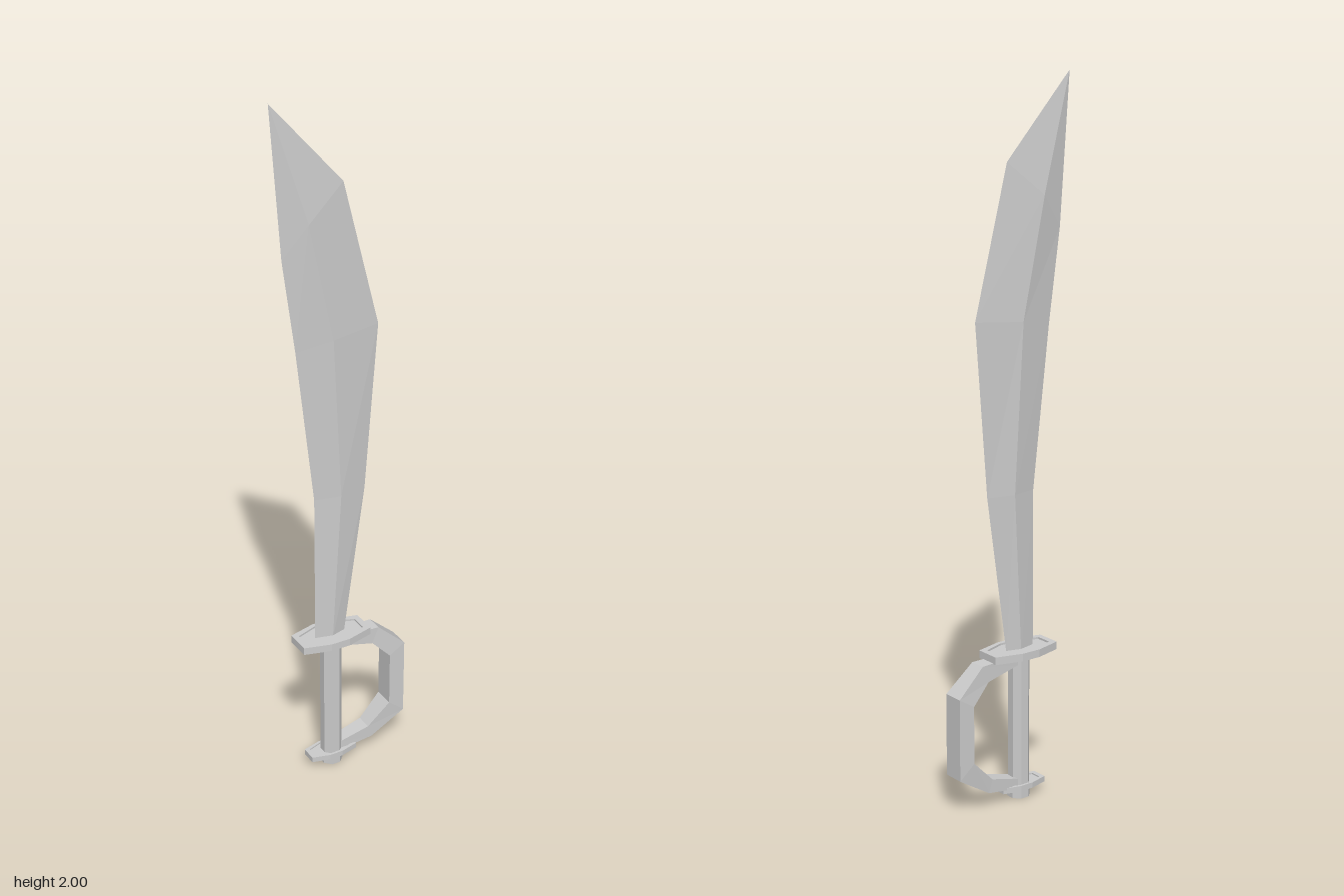
import * as THREE from 'three';

const material = new THREE.MeshStandardMaterial({ color: 0xcccccc, flatShading: true });

function part(name, geometry, x = 0, y = 0, z = 0) {
  const mesh = new THREE.Mesh(geometry, material);
  mesh.name = name;
  mesh.position.set(x, y, z);
  return mesh;
}

// Faceted skin over rings of four corners, capped at both ends
function loft(rings) {
  const pos = [];
  const quad = (a, b, c, d) => pos.push(...a, ...b, ...c, ...a, ...c, ...d);
  for (let i = 0; i < rings.length - 1; i++) {
    for (let j = 0; j < 4; j++) {
      const k = (j + 1) % 4;
      quad(rings[i][j], rings[i][k], rings[i + 1][k], rings[i + 1][j]);
    }
  }
  const [first, last] = [rings[0], rings[rings.length - 1]];
  quad(first[3], first[2], first[1], first[0]);
  quad(...last);
  const geometry = new THREE.BufferGeometry();
  geometry.setAttribute('position', new THREE.Float32BufferAttribute(pos, 3));
  geometry.computeVertexNormals();
  return geometry;
}

// Eight-cornered outline, stretched along x
function outline(endX, endZ, sideX, sideZ) {
  return [
    [endX, endZ], [sideX, sideZ], [-sideX, sideZ], [-endX, endZ],
    [-endX, -endZ], [-sideX, -sideZ], [sideX, -sideZ], [endX, -endZ],
  ].map(([x, z]) => new THREE.Vector2(x, z));
}

function slab(shape, depth) {
  return new THREE.ExtrudeGeometry(shape, { depth, bevelEnabled: false })
    .translate(0, 0, -depth / 2)
    .rotateX(-Math.PI / 2);
}

// Plate with a raised rim on both faces
function rimmedPlate(name, outer, inner, thickness, x, y) {
  const group = new THREE.Group();
  group.name = name;
  const rim = new THREE.Shape(outer);
  rim.holes.push(new THREE.Path(inner));
  group.add(part(name + 'Rim', slab(rim, thickness)));
  group.add(part(name + 'Web', slab(new THREE.Shape(inner), thickness * 0.5)));
  group.position.set(x, y, 0);
  return group;
}

export function createModel() {
  const model = new THREE.Group();
  model.name = 'cutlass';

  // Blade: [back edge x, y], [ridge x, y, half thickness], [cutting edge x, y]
  const blade = [
    [[-0.08, 0.425], [-0.03, 0.425, 0.012], [0.012, 0.425]],
    [[-0.08, 0.88], [-0.005, 0.88, 0.016], [0.077, 0.88]],
    [[-0.132, 1.33], [-0.03, 1.35, 0.02], [0.115, 1.36]],
    [[-0.168, 1.59], [-0.1, 1.68, 0.02], [0.01, 1.77]],
    [[-0.198, 2], [-0.198, 2, 0], [-0.198, 2]],
  ].map(([back, ridge, edge]) => [
    [...edge, 0],
    [ridge[0], ridge[1], -ridge[2]],
    [...back, 0],
    ridge,
  ]);
  model.add(part('blade', loft(blade)));

  // Hand guard under the blade and smaller plate at the pommel
  model.add(rimmedPlate('handGuard',
    outline(0.107, 0.037, 0.029, 0.058), outline(0.09, 0.024, 0.027, 0.046), 0.022, -0.029, 0.43));
  model.add(rimmedPlate('pommelPlate',
    outline(0.073, 0.023, 0.02, 0.037), outline(0.06, 0.016, 0.018, 0.03), 0.016, -0.032, 0.034));

  // Grip running down to the end knob
  const octagon = (radius, height) =>
    new THREE.CylinderGeometry(radius, radius, height, 8).rotateY(Math.PI / 8);
  model.add(part('grip', octagon(0.031, 0.4), -0.03, 0.225));
  model.add(part('pommelKnob', octagon(0.033, 0.03), -0.03, 0.015));

  // Knuckle bow: outer x, y, inner x, y, half width
  const bow = [
    [-0.01, 0.424, -0.01, 0.396, 0.02],
    [0.115, 0.42, 0.095, 0.372, 0.024],
    [0.198, 0.345, 0.15, 0.315, 0.031],
    [0.198, 0.11, 0.15, 0.15, 0.031],
    [0.095, 0.046, 0.083, 0.084, 0.024],
    [-0.01, 0.03, -0.01, 0.06, 0.02],
  ].map(([ox, oy, ix, iy, w]) => [[ox, oy, -w], [ox, oy, w], [ix, iy, w], [ix, iy, -w]]);
  model.add(part('knuckleBow', loft(bow), 0, 0, -0.004));

  return model;
}
